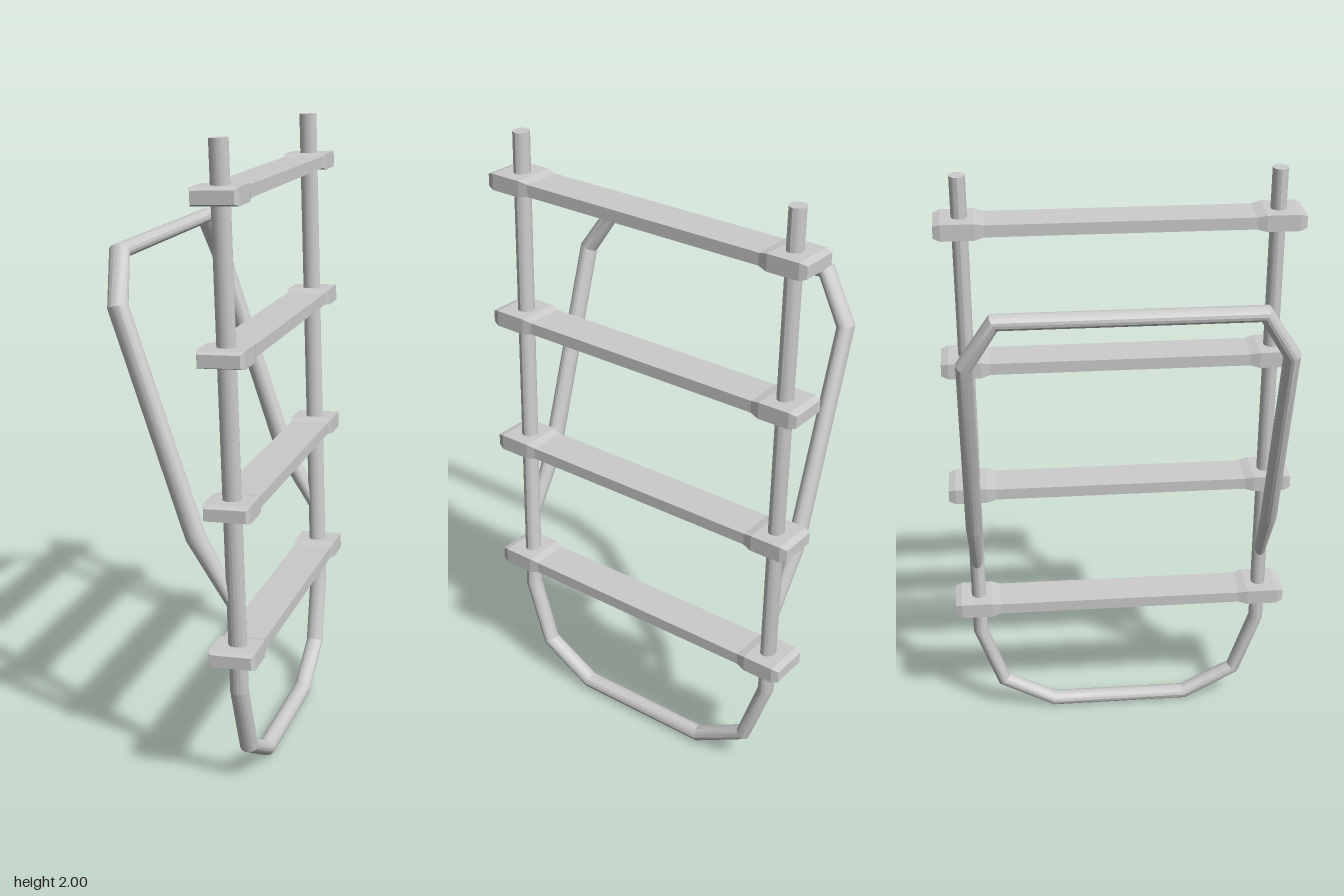
import * as THREE from 'three';
import { toCreasedNormals } from 'three/addons/utils/BufferGeometryUtils.js';

const material = new THREE.MeshStandardMaterial({ color: 0xcccccc });
const LEAN = 0.0385;
const railX = (y) => 0.115 + (2 - y) * LEAN;

// Skins a row of equal rings (counter-clockwise about the path) and caps both ends.
function loft(rings, crease) {
  const n = rings[0].length, pos = [];
  const tri = (...pts) => pts.forEach((p) => pos.push(p.x, p.y, p.z));
  for (let i = 0; i < rings.length - 1; i++) {
    for (let j = 0; j < n; j++) {
      const k = (j + 1) % n, A = rings[i], B = rings[i + 1];
      tri(A[j], A[k], B[k]);
      tri(A[j], B[k], B[j]);
    }
  }
  const first = rings[0], last = rings[rings.length - 1];
  for (let j = 1; j < n - 1; j++) {
    tri(first[0], first[j + 1], first[j]);
    tri(last[0], last[j], last[j + 1]);
  }
  const g = new THREE.BufferGeometry();
  g.setAttribute('position', new THREE.Float32BufferAttribute(pos, 3));
  g.computeVertexNormals();
  return toCreasedNormals(g, crease);
}

// Oval pipe with sharp bends; ends can be tapered.
function pipe(points, ru, rv, endScale = 1) {
  const sides = 16;
  const rings = points.map((p, i) => {
    const t = new THREE.Vector3();
    if (i > 0) t.add(p.clone().sub(points[i - 1]).normalize());
    if (i < points.length - 1) t.add(points[i + 1].clone().sub(p).normalize());
    t.normalize();
    const u = new THREE.Vector3(1, 0, 0).addScaledVector(t, -t.x).normalize();
    const v = t.clone().cross(u);
    const s = i === 0 || i === points.length - 1 ? endScale : 1;
    return Array.from({ length: sides }, (_, j) => {
      const a = (j / sides) * Math.PI * 2;
      return p.clone().addScaledVector(u, Math.cos(a) * ru * s).addScaledVector(v, Math.sin(a) * rv * s);
    });
  });
  return loft(rings, 0.45);
}

// Completes a half path [x, y, z] by mirroring it across z.
function mirrored(half) {
  const a = half.map(([x, y, z]) => new THREE.Vector3(x, y, z));
  const b = half.map(([x, y, z]) => new THREE.Vector3(x, y, -z)).reverse();
  return [...a, ...b];
}

// Flat tread with thicker chamfered clamps at both ends.
function stepGeometry() {
  const half = [[0.57, 0.064, 0.019], [0.548, 0.072, 0.026], [0.445, 0.072, 0.026], [0.415, 0.065, 0.019]];
  const stations = [...half.map(([z, w, h]) => [-z, w, h]), ...half.slice().reverse()];
  const rings = stations.map(([z, w, h]) =>
    [[w, -h], [w, h], [-w, h], [-w, -h]].map(([x, y]) => new THREE.Vector3(x, y, z)));
  return loft(rings, 0.1);
}

export function createModel() {
  const group = new THREE.Group();
  const add = (name, geometry) => {
    const mesh = new THREE.Mesh(geometry, material);
    mesh.name = name;
    group.add(mesh);
    return mesh;
  };

  // Side rails joined by the bent loop at the foot
  const rail = [[2, 0.49], [0.35, 0.49], [0.13, 0.415], [0.03, 0.235]];
  add('railFrame', pipe(mirrored(rail.map(([y, z]) => [railX(y), y, z])), 0.029, 0.025));

  // Slanted handrail hoop growing out of the rails
  add('handrail', pipe(mirrored([
    [0.165, 0.62, 0.49], [0.042, 0.83, 0.492], [-0.19, 1.51, 0.492], [-0.218, 1.657, 0.4],
  ]), 0.032, 0.027, 0.65));

  // Steps, square to the leaning rails
  const tread = stepGeometry();
  [0.475, 0.932, 1.388, 1.845].forEach((y, i) => {
    const step = add(`step${i + 1}`, tread);
    step.position.set(railX(y), y, 0);
    step.rotation.z = LEAN;
  });

  return group;
}
